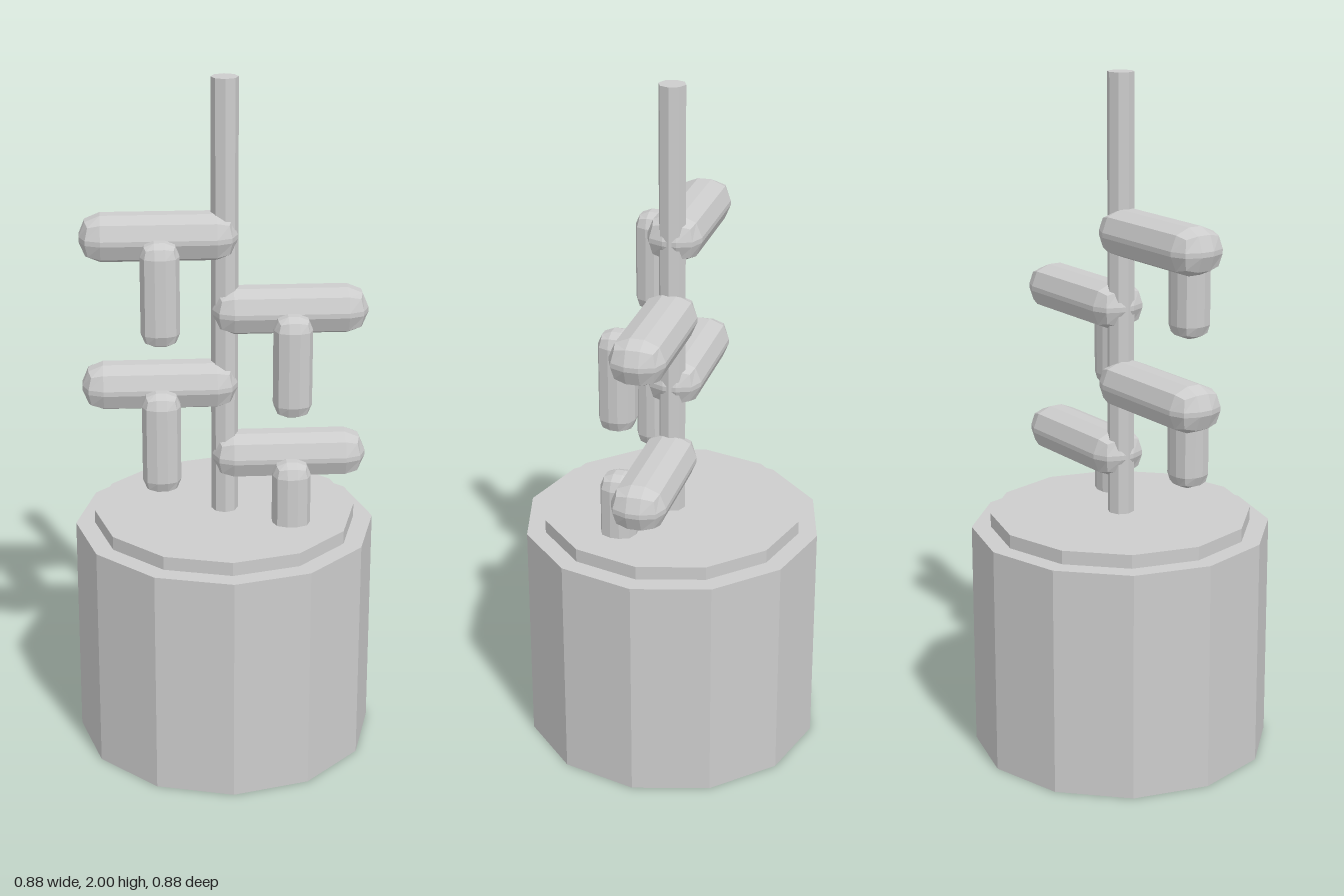
import * as THREE from 'three';
import { RoundedBoxGeometry } from 'three/addons/geometries/RoundedBoxGeometry.js';

export function createModel() {
  const model = new THREE.Group();
  const grey = new THREE.MeshStandardMaterial({ color: 0xcccccc, flatShading: true });
  grey.name = 'plain grey';

  function add(name, geometry, x, y, z) {
    const mesh = new THREE.Mesh(geometry, grey);
    mesh.name = name;
    mesh.position.set(x, y, z);
    model.add(mesh);
  }
  // Upright prism between two heights
  function prism(name, radius, bottom, top, sides) {
    add(name, new THREE.CylinderGeometry(radius, radius, top - bottom, sides), 0, (bottom + top) / 2, 0);
  }

  // Twelve-sided pedestal with a thin raised lid, and the central pole
  prism('pedestal', 0.44, 0, 0.675, 12);
  prism('pedestalLid', 0.384, 0.675, 0.715, 12);
  prism('pole', 0.039, 0.7, 2, 8);

  // Arms alternate sides down the pole, each with a hanging bar in front
  for (let i = 0; i < 4; i++) {
    const side = i % 2 ? 1 : -1;
    const y = 1.551 - i * 0.221;
    add('arm', new RoundedBoxGeometry(0.446, 0.134, 0.16, 1, 0.06), side * 0.187, y, 0);
    add('hangingBar', new RoundedBoxGeometry(0.11, 0.302, 0.106, 1, 0.04), side * 0.187, y - 0.137, 0.105);
  }
  return model;
}
